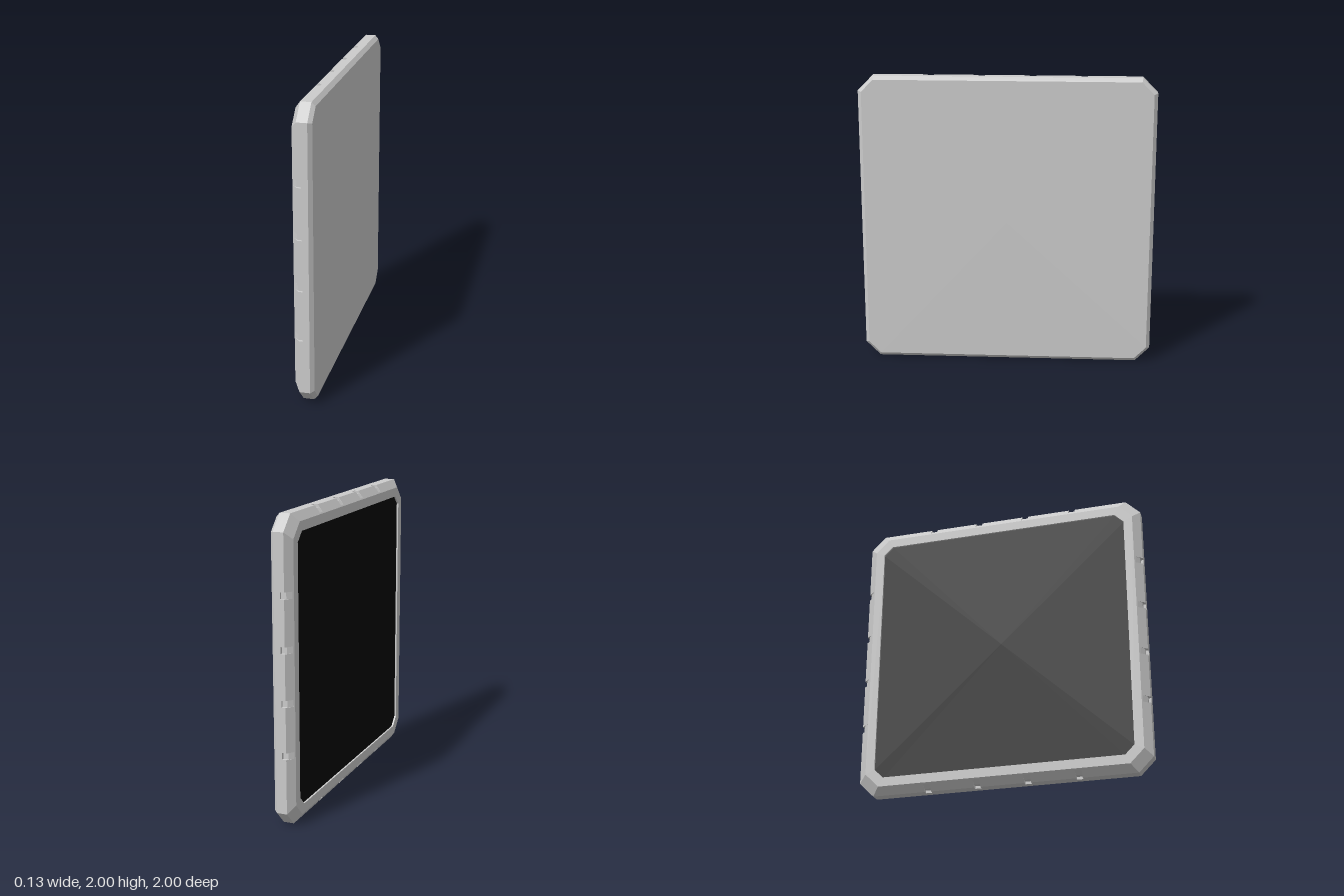
import * as THREE from 'three';

// Profile stations: x position, half size h, and c = where the straight side ends.
const BACK_CENTRE = { x: 0.066, h: 0, c: 0 };
const BACK_EDGE = { x: 0.066, h: 0.975, c: 0.893 };
const SIDE_BACK = { x: 0.042, h: 1, c: 0.9 };
const SIDE_MID = { x: 0, h: 1, c: 0.9 };
const SIDE_FRONT = { x: -0.028, h: 1, c: 0.9 };
const RIM_OUTER = { x: -0.069, h: 0.947, c: 0.853 };
const RIM_INNER = { x: -0.069, h: 0.885, c: 0.823 };
const RECESS = { x: -0.057, h: 0.885, c: 0.823 };
const SCREEN_CENTRE = { x: -0.057, h: 0, c: 0 };

const SLOTS = [-0.513, -0.171, 0.171, 0.513];
const SLOT_HALF = 0.022;
// Slot cross-section as [x, h]: stepped floor below the side and bevel
const FLOOR = [[0, 1], [0, 0.982], [-0.034, 0.982], [-0.063, 0.955]];

// Collects flat polygons, repeating each one on the four sides
class Faces {
  constructor() { this.positions = []; }

  // points are [x, outward, along] for the top side
  polygon(points) {
    for (let k = 0; k < 4; k++) {
      const cos = Math.round(Math.cos(k * Math.PI / 2));
      const sin = Math.round(Math.sin(k * Math.PI / 2));
      const p = points.map(([x, h, t]) => [x, 1 + h * cos - t * sin, h * sin + t * cos]);
      for (let i = 1; i < p.length - 1; i++) this.positions.push(...p[0], ...p[i], ...p[i + 1]);
    }
  }

  // straight piece between two stations
  side(a, b, a0 = -a.c, a1 = a.c, b0 = -b.c, b1 = b.c) {
    this.polygon([[a.x, a.h, a0], [b.x, b.h, b0], [b.x, b.h, b1], [a.x, a.h, a1]]);
  }

  // chamfered corner piece between two stations
  corner(a, b) {
    this.polygon([[a.x, a.h, a.c], [b.x, b.h, b.c], [b.x, b.c, b.h], [a.x, a.c, a.h]]);
  }

  band(a, b) {
    this.side(a, b);
    this.corner(a, b);
  }

  // band interrupted by the slots
  slottedBand(a, b) {
    for (let i = 0; i <= SLOTS.length; i++) {
      const start = i > 0 ? SLOTS[i - 1] + SLOT_HALF : null;
      const end = i < SLOTS.length ? SLOTS[i] - SLOT_HALF : null;
      this.side(a, b, start ?? -a.c, end ?? a.c, start ?? -b.c, end ?? b.c);
    }
    this.corner(a, b);
  }

  mesh(name, color) {
    const geometry = new THREE.BufferGeometry();
    geometry.setAttribute('position', new THREE.Float32BufferAttribute(this.positions, 3));
    geometry.computeVertexNormals();
    const mesh = new THREE.Mesh(geometry, new THREE.MeshStandardMaterial({ color, flatShading: true }));
    mesh.name = name;
    return mesh;
  }
}

export function createModel() {
  const model = new THREE.Group();
  model.name = 'panel';

  // Flat back plate
  const plate = new Faces();
  plate.band(BACK_CENTRE, BACK_EDGE);
  model.add(plate.mesh('backPlate', 0xcccccc));

  // Bevelled frame around the edge
  const frame = new Faces();
  frame.band(BACK_EDGE, SIDE_BACK);
  frame.band(SIDE_BACK, SIDE_MID);
  frame.slottedBand(SIDE_MID, SIDE_FRONT);
  frame.slottedBand(SIDE_FRONT, RIM_OUTER);
  frame.band(RIM_OUTER, RIM_INNER);
  frame.band(RIM_INNER, RECESS);
  model.add(frame.mesh('frame', 0xcccccc));

  // Small slots cut into each side of the frame
  const slots = new Faces();
  const wall = [...FLOOR, [SIDE_FRONT.x, SIDE_FRONT.h]];
  for (const t of SLOTS) {
    const t0 = t - SLOT_HALF, t1 = t + SLOT_HALF;
    for (let i = 0; i < FLOOR.length - 1; i++) {
      const [a, b] = [FLOOR[i], FLOOR[i + 1]];
      slots.polygon([[...a, t0], [...b, t0], [...b, t1], [...a, t1]]);
    }
    // sliver of bevel between slot and rim
    const end = FLOOR[3], rim = [RIM_OUTER.x, RIM_OUTER.h];
    slots.polygon([[...end, t0], [...rim, t0], [...rim, t1], [...end, t1]]);
    // end walls, fanned from the bend in the floor so the shape stays inside
    const fan = [2, 3, 4, 0, 1].map(i => wall[i]);
    slots.polygon(fan.map(p => [...p, t1]));
    slots.polygon(fan.map(p => [...p, t0]).reverse());
    // the reversed fan starts elsewhere, but the outline is close to convex
  }
  const slotMesh = slots.mesh('sideSlots', 0xcccccc);
  slotMesh.material.side = THREE.DoubleSide;
  model.add(slotMesh);

  // Dark recessed screen
  const screen = new Faces();
  screen.band(RECESS, SCREEN_CENTRE);
  model.add(screen.mesh('screen', 0x050505));

  return model;
}
